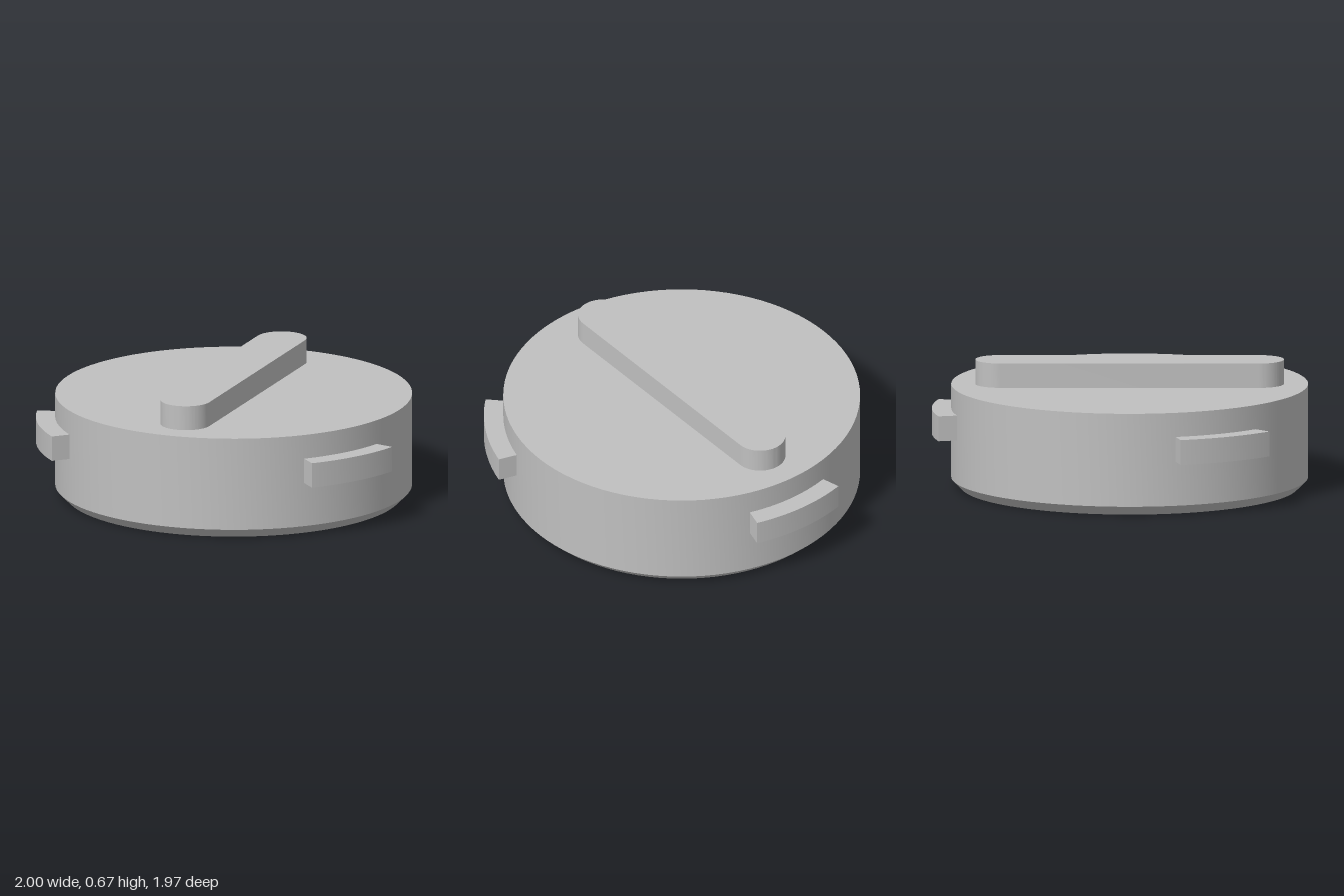
import * as THREE from 'three';
import { toCreasedNormals } from 'three/addons/utils/BufferGeometryUtils.js';

const CENTER_Z = 0.05;

export function createModel() {
  const model = new THREE.Group();
  model.name = 'bayonetCap';
  const cap = new THREE.Group();
  cap.name = 'cap';
  cap.position.z = CENTER_Z;
  model.add(cap);

  const grey = new THREE.MeshStandardMaterial({ color: 0xc0c0c0 });
  grey.name = 'grey';

  const add = (name, geometry) => {
    const mesh = new THREE.Mesh(toCreasedNormals(geometry, Math.PI / 6), grey);
    mesh.name = name;
    cap.add(mesh);
  };

  // Extrude a plan outline upwards from y0 to y1
  const slab = (shape, y0, y1) => {
    const g = new THREE.ExtrudeGeometry(shape, { depth: y1 - y0, bevelEnabled: false, curveSegments: 24 });
    return g.rotateX(-Math.PI / 2).translate(0, y0, 0);
  };

  // Round body with a chamfered lower edge and a blind hole underneath
  const profile = [
    [0, 0.28], [0.35, 0.28], [0.35, 0], [0.883, 0],
    [0.933, 0.05], [0.933, 0.543], [0, 0.543],
  ].map(([r, y]) => new THREE.Vector2(r, y));
  add('body', new THREE.LatheGeometry(profile, 96));

  // Round-ended grip bar across the top
  const r = 0.132, straight = 0.807 - r;
  const bar = new THREE.Shape();
  bar.absarc(0, straight, r, 0, Math.PI, false);
  bar.absarc(0, -straight, r, Math.PI, Math.PI * 2, false);
  bar.closePath();
  add('gripBar', slab(bar, 0.53, 0.672));

  // Three curved locking lugs, evenly spaced, one at the back
  const half = Math.PI / 12;
  ['backLug', 'rightLug', 'leftLug'].forEach((name, i) => {
    const a = Math.PI / 2 + (i * Math.PI * 2) / 3;
    const lug = new THREE.Shape();
    lug.absarc(0, 0, 1.034, a - half, a + half, false);
    lug.absarc(0, 0, 0.9, a + half, a - half, true);
    lug.closePath();
    add(name, slab(lug, 0.283, 0.415));
  });

  return model;
}
